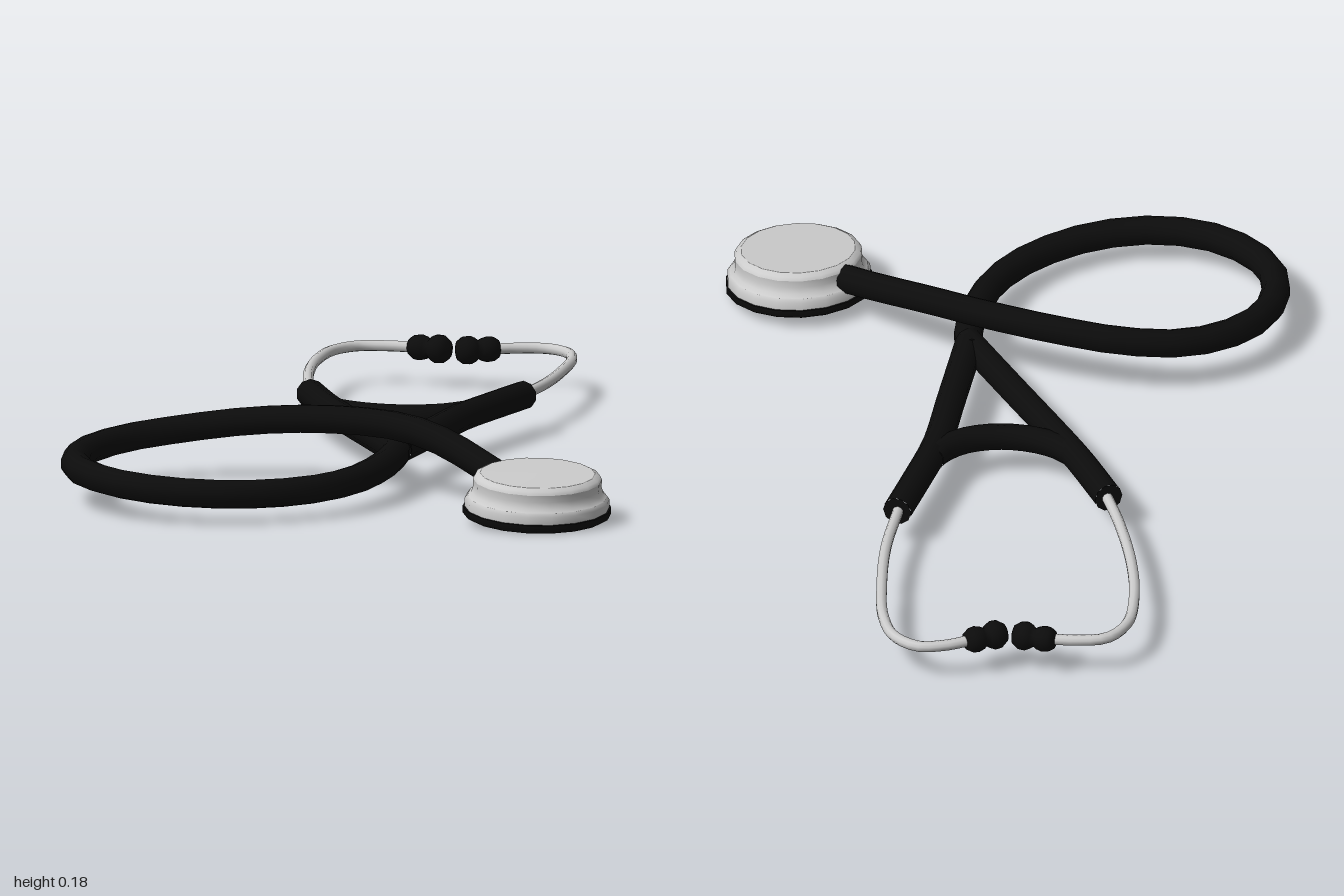
import * as THREE from 'three';

const rubber = new THREE.MeshStandardMaterial({ color: 0x0c0c0c });
const metal = new THREE.MeshStandardMaterial({ color: 0xcccccc });
const Y = 0.088; // height of the flat-lying headset

const v = (p) => new THREE.Vector3(...p);
const flat = (pts) => pts.map(([x, z]) => [x, Y, z]);

// Capped tube along a smooth path
function tube(name, pts, radius, segments, sides, material) {
  const group = new THREE.Group();
  group.name = name;
  const curve = new THREE.CatmullRomCurve3(pts.map(v), false, 'centripetal');
  const body = new THREE.Mesh(new THREE.TubeGeometry(curve, segments, radius, sides), material);
  body.name = name + 'Body';
  group.add(body);
  for (const t of [0, 1]) {
    const cap = new THREE.Mesh(new THREE.CircleGeometry(radius, sides), material);
    const out = curve.getTangentAt(t).multiplyScalar(t ? 1 : -1);
    cap.position.copy(curve.getPointAt(t));
    cap.quaternion.setFromUnitVectors(new THREE.Vector3(0, 0, 1), out);
    cap.name = name + 'End';
    group.add(cap);
  }
  return group;
}

// Turned profile with crisp steps: each run of points is a smooth band
function turned(name, runs, sides, material) {
  const group = new THREE.Group();
  group.name = name;
  runs.forEach((run) => {
    const band = new THREE.Mesh(
      new THREE.LatheGeometry(run.map(([r, y]) => new THREE.Vector2(r, y)), sides), material);
    band.name = name + 'Band';
    group.add(band);
  });
  return group;
}

// Two-bead ear tip pointing from one point to another
function earTip(name, from, to) {
  const tip = turned(name, [[
    [0, 0], [0.02, 0.002], [0.028, 0.014], [0.03, 0.028], [0.026, 0.042], [0.021, 0.05],
    [0.027, 0.056], [0.033, 0.068], [0.032, 0.084], [0.022, 0.098], [0, 0.104],
  ]], 12, rubber);
  const a = v(from), dir = v(to).sub(a).normalize();
  tip.position.copy(a);
  tip.quaternion.setFromUnitVectors(new THREE.Vector3(0, 1, 0), dir);
  return tip;
}

export function createModel() {
  const model = new THREE.Group();
  model.name = 'stethoscope';

  // Looping hose from the fork round to the chest piece
  model.add(tube('hose', [
    [0.075, Y, 0.30], [0.05, 0.084, 0.385], [-0.01, 0.075, 0.49], [-0.1, 0.068, 0.6],
    [-0.22, 0.065, 0.675], [-0.38, 0.067, 0.705], [-0.53, 0.073, 0.665], [-0.64, 0.08, 0.56],
    [-0.687, 0.087, 0.4], [-0.64, 0.094, 0.25], [-0.53, 0.103, 0.15], [-0.38, 0.115, 0.115],
    [-0.24, 0.132, 0.145], [-0.1, 0.147, 0.23], [0.04, 0.152, 0.36], [0.11, 0.143, 0.46],
    [0.17, 0.118, 0.58], [0.21, 0.094, 0.68], [0.222, 0.088, 0.71],
  ], 0.033, 32, 10, rubber));

  // Rubber fork: two arms and the spring bridge between them
  model.add(tube('leftArm', flat([
    [0.07, 0.33], [0.2, 0.115], [0.3, -0.05], [0.39, -0.165], [0.492, -0.29],
  ]), 0.033, 14, 10, rubber));
  model.add(tube('rightArm', flat([
    [0.065, 0.35], [0.048, 0.1], [0.03, -0.15], [0.026, -0.24], [0.026, -0.412],
  ]), 0.033, 14, 10, rubber));
  model.add(tube('bridge', flat([
    [0.027, -0.21], [0.05, -0.155], [0.095, -0.105], [0.16, -0.068], [0.235, -0.057],
    [0.295, -0.075], [0.33, -0.1],
  ]), 0.03, 14, 10, rubber));

  // Metal ear tubes
  model.add(tube('leftEarTube', flat([
    [0.48, -0.275], [0.575, -0.43], [0.645, -0.58], [0.693, -0.71], [0.702, -0.8],
    [0.67, -0.86], [0.61, -0.88], [0.54, -0.88],
  ]), 0.0125, 36, 10, metal));
  model.add(tube('rightEarTube', flat([
    [0.026, -0.39], [0.045, -0.52], [0.083, -0.69], [0.135, -0.84], [0.195, -0.945],
    [0.26, -0.985], [0.325, -0.97], [0.4, -0.93],
  ]), 0.0125, 36, 10, metal));
  model.add(earTip('leftEarTip', [0.563, Y, -0.882], [0.46, Y, -0.877]));
  model.add(earTip('rightEarTip', [0.371, Y, -0.953], [0.452, Y, -0.889]));

  // Chest piece: black diaphragm rim under a stepped metal bell, tilted forward
  const chest = new THREE.Group();
  chest.name = 'chestPiece';
  chest.add(turned('diaphragm', [
    [[0, 0], [0.16, 0]], [[0.16, 0], [0.168, 0.005], [0.168, 0.02]], [[0.168, 0.02], [0.15, 0.022]],
  ], 18, rubber));
  chest.add(turned('bell', [
    [[0.164, 0.02], [0.164, 0.038], [0.158, 0.046]],
    [[0.158, 0.046], [0.149, 0.054], [0.145, 0.068], [0.146, 0.084]],
    [[0.146, 0.084], [0.142, 0.092], [0.13, 0.098]],
    [[0.13, 0.098], [0, 0.099]],
  ], 18, metal));
  chest.position.set(0.285, 0.016, 0.822);
  chest.rotation.x = 0.095;
  model.add(chest);

  return model;
}
